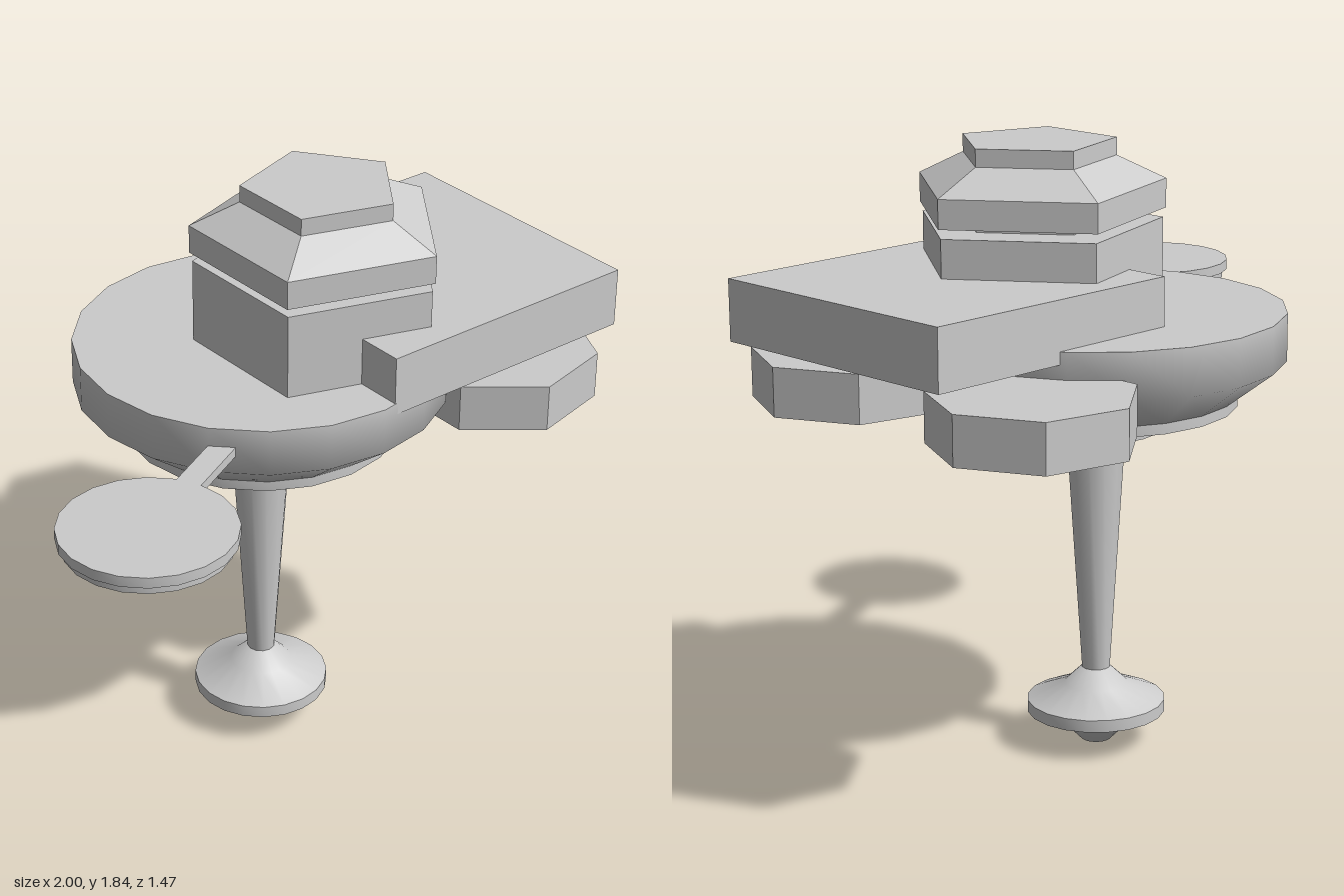
import * as THREE from 'three';
import { toCreasedNormals } from 'three/addons/utils/BufferGeometryUtils.js';

const smoothMat = new THREE.MeshStandardMaterial({ color: 0xcccccc });
const flatMat = new THREE.MeshStandardMaterial({ color: 0xcccccc, flatShading: true });

export function createModel() {
  const model = new THREE.Group();
  model.name = 'saucerStation';

  const add = (parent, name, geometry, material, x = 0, y = 0, z = 0) => {
    const mesh = new THREE.Mesh(geometry, material);
    mesh.name = name;
    mesh.position.set(x, y, z);
    parent.add(mesh);
    return mesh;
  };

  // Turned part: profile of [radius, y] from bottom to top, sharp only at strong bends
  const turned = (parent, name, profile, segments = 20, x = 0, z = 0) => {
    const points = profile.map(([r, y]) => new THREE.Vector2(r, y));
    const geometry = toCreasedNormals(new THREE.LatheGeometry(points, segments), 0.95);
    return add(parent, name, geometry, smoothMat, x, 0, z);
  };

  // Faceted prism or frustum with one corner pointing to +x
  const prism = (parent, name, sides, rBottom, rTop, y0, y1, x = 0, z = 0) => {
    const geometry = new THREE.CylinderGeometry(rTop, rBottom, y1 - y0, sides, 1, false, Math.PI / 2);
    return add(parent, name, geometry, flatMat, x, (y0 + y1) / 2, z);
  };

  // Everything turned around the main axis
  const core = new THREE.Group();
  core.name = 'core';
  core.position.set(0.085, 0, -0.08);
  model.add(core);
  turned(core, 'foot', [
    [0, 0], [0.045, 0.005], [0.095, 0.056], [0.208, 0.099],
    [0.208, 0.136], [0.095, 0.185], [0.043, 0.235], [0, 0.235],
  ]);
  turned(core, 'shaft', [[0, 0.22], [0.042, 0.22], [0.091, 0.985], [0, 0.985]], 12);
  turned(core, 'collar', [[0, 0.98], [0.192, 0.98], [0.192, 1.06], [0, 1.06]]);
  turned(core, 'basePlate', [[0, 1.06], [0.418, 1.06], [0.418, 1.093], [0, 1.093]]);
  turned(core, 'bowl', [[0, 1.092], [0.42, 1.092], [0.56, 1.2], [0.56, 1.342], [0, 1.342]]);

  // Rectangular deck resting on the bowl
  add(model, 'deck', new THREE.BoxGeometry(0.87, 0.182, 0.863), flatMat, 0.563, 1.396, 0.04);

  // Pair of seven-sided pods under the deck
  for (const side of [-1, 1]) {
    prism(model, side > 0 ? 'frontPod' : 'backPod', 7, 0.298, 0.298, 1.118, 1.263, 0.702, -0.08 + side * 0.365);
  }

  // Five-sided tower
  const tower = new THREE.Group();
  tower.name = 'tower';
  tower.position.set(0.215, 0, 0.035);
  model.add(tower);
  prism(tower, 'towerBase', 5, 0.374, 0.374, 1.34, 1.6);
  prism(tower, 'towerNeck', 5, 0.237, 0.237, 1.6, 1.628);
  prism(tower, 'towerStorey', 5, 0.383, 0.383, 1.628, 1.714);
  prism(tower, 'towerRoof', 5, 0.383, 0.237, 1.714, 1.786);
  prism(tower, 'towerCap', 5, 0.237, 0.237, 1.786, 1.838);

  // Landing pad on an arm
  turned(model, 'landingPad', [
    [0, 1.227], [0.235, 1.227], [0.235, 1.254], [0.25, 1.254], [0.25, 1.286], [0, 1.286],
  ], 20, -0.75, 0.48);
  const start = new THREE.Vector2(-0.58, 0.395);
  const end = new THREE.Vector2(-0.24, 0.225);
  const arm = add(model, 'padArm', new THREE.BoxGeometry(start.distanceTo(end), 0.029, 0.075), flatMat,
    (start.x + end.x) / 2, 1.27, (start.y + end.y) / 2);
  arm.rotation.y = Math.atan2(start.y - end.y, end.x - start.x);

  return model;
}
